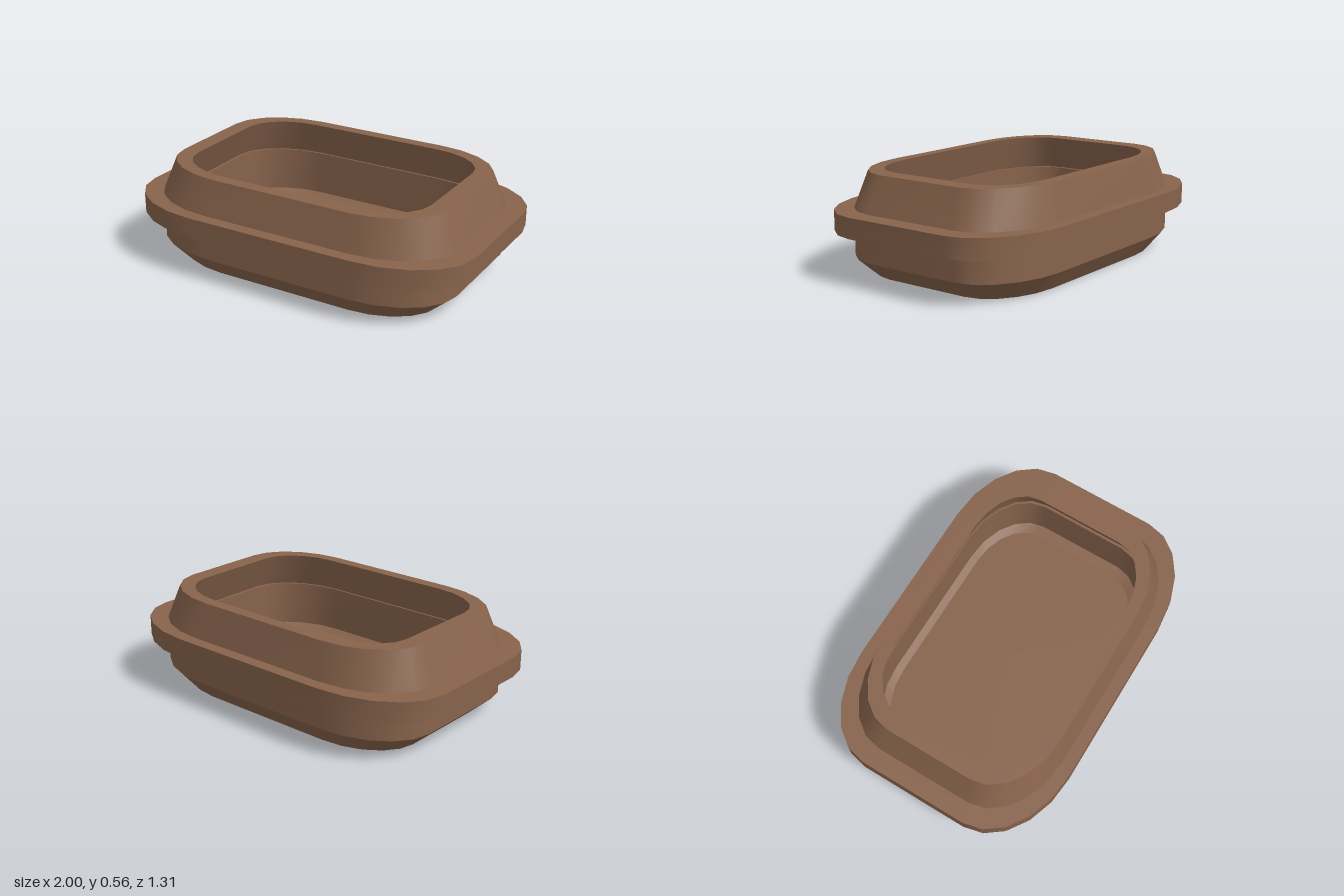
import * as THREE from 'three';
import { mergeGeometries } from 'three/addons/utils/BufferGeometryUtils.js';

const STEPS = 5; // facets per rounded corner

// Rounded-rectangle ring: half sizes hx, hz at height y; corners are ellipses centred on (cx, cz)
function ring([hx, hz, y, cx = 0.4, cz = 0.25]) {
  const pts = [];
  for (let q = 0; q < 4; q++) {
    const sx = q === 0 || q === 3 ? 1 : -1;
    const sz = q < 2 ? 1 : -1;
    for (let k = 0; k <= STEPS; k++) {
      const a = (q + k / STEPS) * Math.PI / 2;
      pts.push(sx * cx + Math.cos(a) * (hx - cx), y, sz * cz + Math.sin(a) * (hz - cz));
    }
  }
  return pts;
}

// Band between two rings, smooth around its length and sharp at its edges
function band(lower, upper) {
  const a = ring(lower), b = ring(upper), n = a.length / 3, index = [];
  for (let i = 0; i < n; i++) {
    const j = (i + 1) % n;
    index.push(i, n + i, j, n + i, n + j, j);
  }
  const g = new THREE.BufferGeometry();
  g.setAttribute('position', new THREE.Float32BufferAttribute([...a, ...b], 3));
  g.setIndex(index);
  g.computeVertexNormals();
  return g;
}

function shell(name, profile, material) {
  const bands = profile.slice(1).map((p, i) => band(profile[i], p));
  const mesh = new THREE.Mesh(mergeGeometries(bands), material);
  mesh.name = name;
  return mesh;
}

export function createModel() {
  const group = new THREE.Group();
  group.name = 'tray';
  const material = new THREE.MeshStandardMaterial({ color: 0x87634c, side: THREE.DoubleSide });
  const centre = y => [0, 0, y, 0, 0];
  const wall = y => [0.895, 0.59, y, 0.44, 0.28];
  const flange = y => [1, 0.657, y, 0.49, 0.31];

  // Hollow pan: underside, chamfer, outer wall, lip, inner wall, shallow slope, floor
  group.add(shell('pan', [
    centre(0),
    [0.78, 0.515, 0],
    wall(0.105),
    wall(0.36),
    [0.785, 0.518, 0.36],
    [0.785, 0.518, 0.105],
    [0.725, 0.478, 0.085],
    centre(0.085),
  ], material));

  // Flange running around the outside
  group.add(shell('flange', [wall(0.25), flange(0.25), flange(0.361), wall(0.361)], material));

  // Inward-leaning upper collar, open in the middle
  group.add(shell('collar', [
    wall(0.361),
    [0.82, 0.541, 0.555],
    [0.72, 0.474, 0.555],
    [0.8, 0.527, 0.361],
  ], material));

  return group;
}
